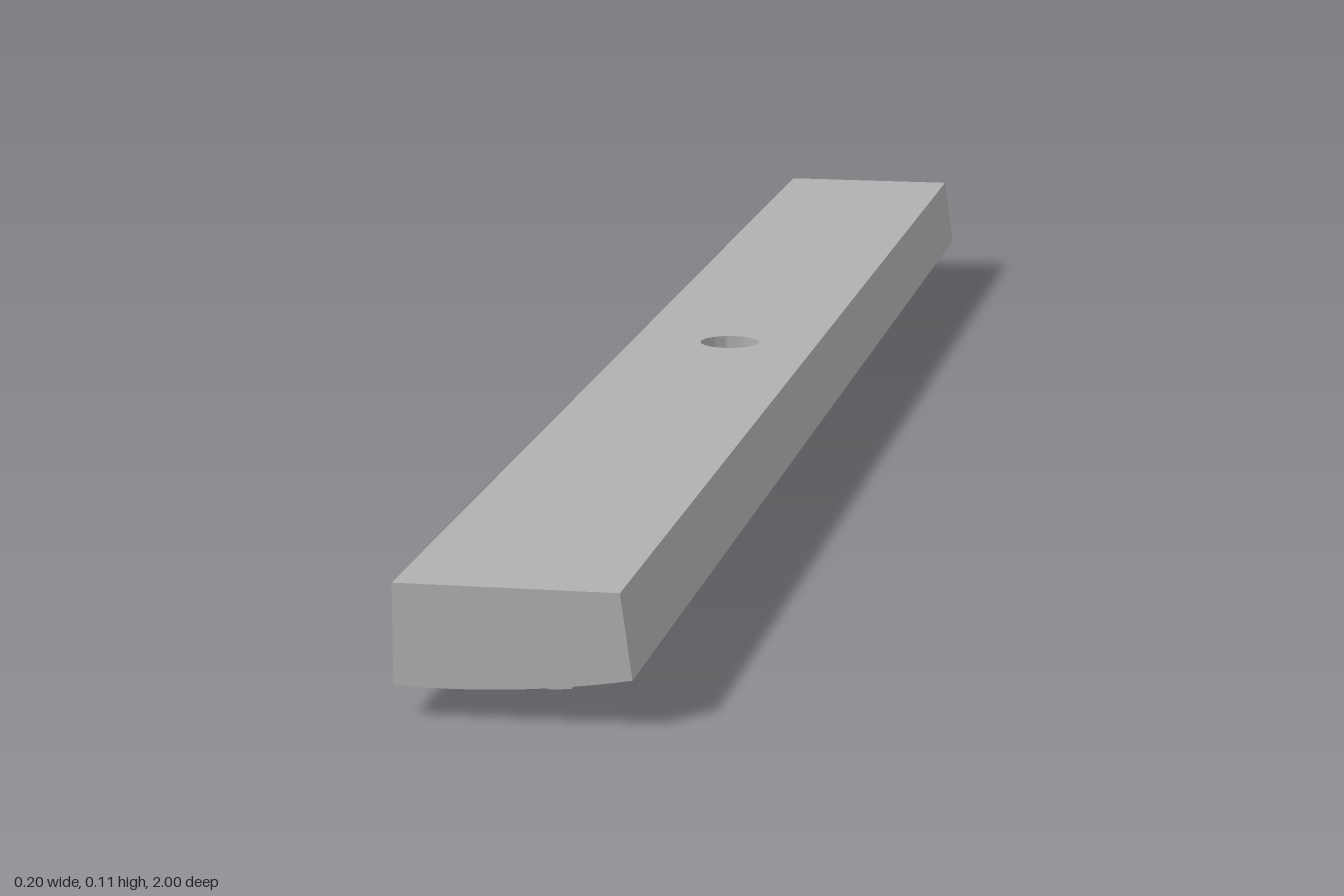
import * as THREE from 'three';
import { toCreasedNormals } from 'three/addons/utils/BufferGeometryUtils.js';

const TOP = 0.115, HALF = 0.1, STEPS = 16, HOLE = 0.03, MID = 0.06;

// gently curved underside
const underside = (x) => 0.0275 + 0.57 * (x + 0.06) ** 2;

// moves the upper and lower vertices of a slab by a rule
function drape(geometry, upper, lower) {
  const p = geometry.attributes.position;
  for (let i = 0; i < p.count; i++) {
    const x = p.getX(i);
    const [nx, ny] = p.getY(i) > -0.5 ? upper(x) : lower(x);
    p.setX(i, nx);
    p.setY(i, ny);
  }
  return toCreasedNormals(geometry, 0.4);
}

// flat outline in x and z, extruded downwards from y = 0 to y = -1
function slab(shape) {
  return new THREE.ExtrudeGeometry(shape, { depth: 1, bevelEnabled: false, curveSegments: 24 })
    .rotateX(Math.PI / 2);
}

// bar: level top with a leaning +x side, curved bottom
const barGeometry = (g) => drape(g,
  (x) => [x > 0.05 ? 0.05 + (x - 0.05) * 0.8 : x, TOP],
  (x) => [x, underside(x)]);

// raised pads follow the curve of the underside
const padGeometry = (g) => drape(g,
  (x) => [x, underside(x) + 0.004],
  (x) => [x, underside(x) - 0.026]);

// outline with rounded ends running along z
function oblong(shape, x, z, w, l) {
  const r = w / 2, h = l / 2 - r;
  shape.absarc(x, z + h, r, 0, Math.PI, false);
  shape.absarc(x, z - h, r, Math.PI, Math.PI * 2, false);
  shape.closePath();
  return shape;
}

export function createModel() {
  const model = new THREE.Group();
  const grey = new THREE.MeshStandardMaterial({ color: 0xb0b0b0 });
  grey.name = 'plain grey';

  const add = (name, geometry) => {
    const mesh = new THREE.Mesh(geometry, grey);
    mesh.name = name;
    model.add(mesh);
  };

  // long ends of the bar
  for (const side of [1, -1]) {
    const end = new THREE.BoxGeometry(HALF * 2, 1, 1 - MID, STEPS, 1, 1)
      .translate(0, -0.5, side * (1 + MID) / 2);
    add(side > 0 ? 'frontBar' : 'backBar', barGeometry(end));
  }

  // middle of the bar with the through hole
  const outline = [];
  for (let i = 0; i <= STEPS; i++) outline.push(new THREE.Vector2(-HALF + 2 * HALF * i / STEPS, -MID));
  for (let i = STEPS; i >= 0; i--) outline.push(new THREE.Vector2(-HALF + 2 * HALF * i / STEPS, MID));
  const middle = new THREE.Shape(outline);
  middle.holes.push(new THREE.Path().absarc(0, 0, HOLE, 0, Math.PI * 2, true));
  add('middleBar', barGeometry(slab(middle)));

  // straight pads under the bar: x, z, width, length
  const pads = [
    [-0.078, -0.88, 0.02, 0.08],
    [-0.05, -0.625, 0.022, 0.11],
    [0.02, -0.385, 0.022, 0.11],
    [0.02, -0.125, 0.02, 0.08], [-0.025, -0.125, 0.02, 0.12], [-0.065, -0.125, 0.02, 0.08],
    [-0.078, 0.13, 0.02, 0.14],
    [-0.05, 0.335, 0.07, 0.022], [-0.05, 0.425, 0.07, 0.022],
    [0.02, 0.86, 0.02, 0.1], [-0.03, 0.83, 0.022, 0.05], [-0.065, 0.88, 0.022, 0.06],
  ];
  for (const [x, z, w, l] of pads) {
    add('straightPad', padGeometry(
      new THREE.BoxGeometry(w, 1, l, 4, 1, 1).translate(x, -0.5, z)));
  }

  // ring-shaped pads: x, z, width, length
  const rings = [
    [-0.035, -0.39, 0.06, 0.08],
    [-0.035, 0.645, 0.08, 0.13],
  ];
  for (const [x, z, w, l] of rings) {
    const ring = oblong(new THREE.Shape(), x, z, w, l);
    ring.holes.push(oblong(new THREE.Path(), x, z, w - 0.04, l - 0.04));
    add('ringPad', padGeometry(slab(ring)));
  }

  return model;
}
